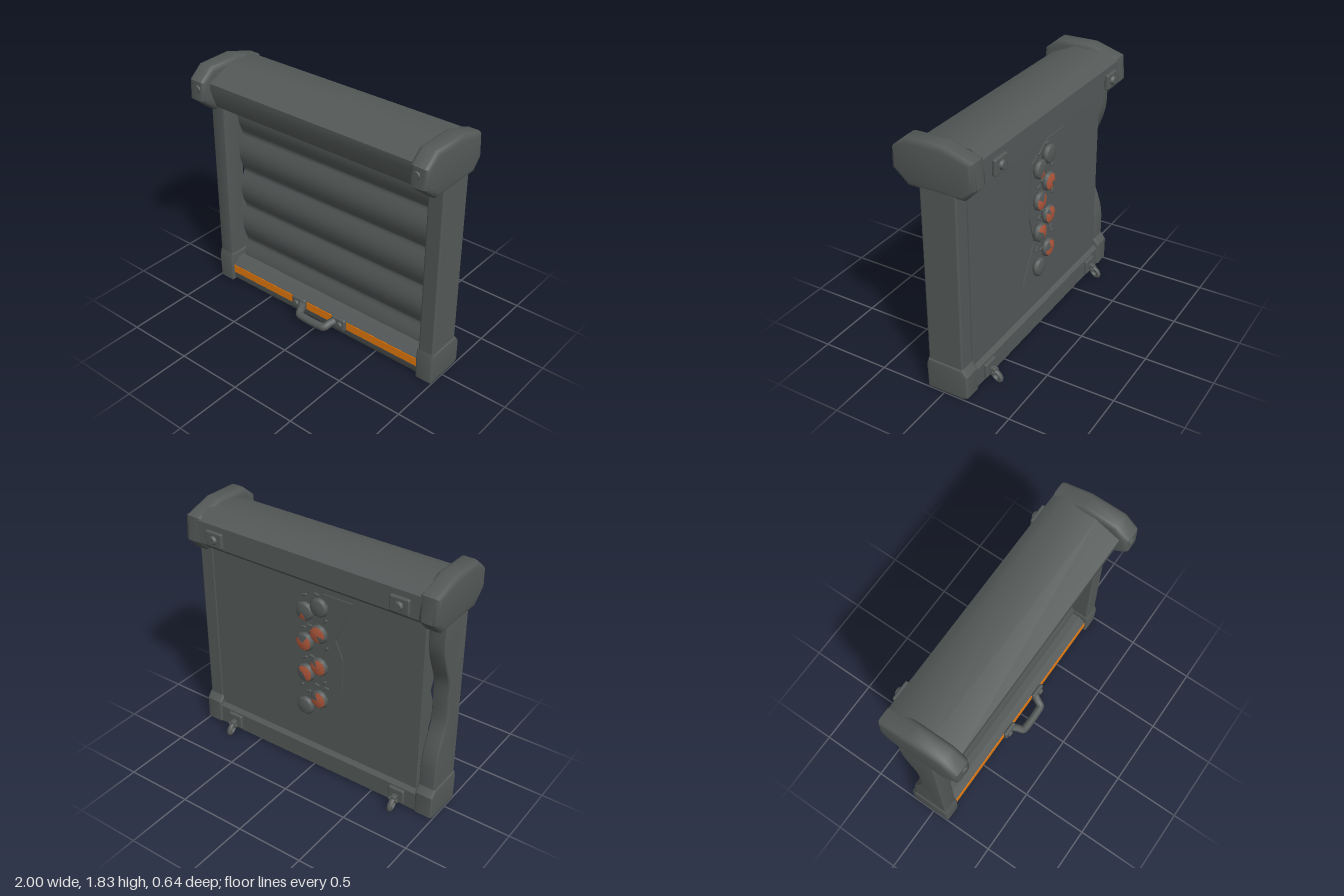
import * as THREE from 'three';
import { toCreasedNormals } from 'three/addons/utils/BufferGeometryUtils.js';
import { RoundedBoxGeometry } from 'three/addons/geometries/RoundedBoxGeometry.js';

const mat = (name, color) => {
  const m = new THREE.MeshStandardMaterial({ color });
  m.name = name;
  return m;
};

export function createModel() {
  const root = new THREE.Group();
  const grey = mat('graphite grey', 0x545958);
  const orange = mat('stripe orange', 0xe67a0c);
  const red = mat('rust red', 0xb0583c);

  const add = (name, geo, material, x = 0, y = 0, z = 0, parent = root) => {
    const m = new THREE.Mesh(geo, material);
    m.name = name;
    m.position.set(x, y, z);
    parent.add(m);
    return m;
  };
  const shapeOf = pts => new THREE.Shape(pts.map(p => new THREE.Vector2(p[0], p[1])));

  // Extrudes a (z, y) profile along x, centred on x = 0
  const alongX = (pts, width, bevel = 0, angle = 0.6) => {
    const depth = width - 2 * bevel;
    const g = new THREE.ExtrudeGeometry(shapeOf(pts), {
      depth, bevelEnabled: bevel > 0, bevelSize: bevel, bevelThickness: bevel,
      bevelOffset: -bevel, bevelSegments: 3,
    });
    g.translate(0, 0, -depth / 2);
    g.rotateY(-Math.PI / 2);
    return toCreasedNormals(g, angle);
  };
  const box = (w, h, d, r = 0.015) => new RoundedBoxGeometry(w, h, d, 2, r);
  // Bolt facing along z
  const bolt = (r, h) => new THREE.CylinderGeometry(r * 0.75, r, h, 8).rotateX(Math.PI / 2);

  // Roller housing
  add('rollerHousing', alongX([
    [0.25, 1.68], [0.25, 1.73], [0.07, 1.81], [-0.18, 1.81], [-0.265, 1.76],
    [-0.27, 1.6], [-0.2, 1.54], [0.2, 1.54],
  ], 1.76), grey);

  // Left post is straight, right post is dented inward along its back
  add('leftPost', box(0.12, 1.48, 0.265), grey, 0.931, 0.81, -0.013);
  const dented = [[0.12, 0.07], [0.12, 1.55], [-0.145, 1.55]];
  for (let i = 0; i <= 16; i++) {
    const dent = Math.min(1, 1.3 * Math.sin((Math.PI * i) / 16) ** 2);
    dented.push([-0.145 + 0.1 * dent, 1.4 - i / 16]);
  }
  dented.push([-0.145, 0.07]);
  add('rightPost', alongX(dented, 0.12, 0.01), grey, -0.931);

  // Feet, end caps and back hardware on both sides
  const cap = alongX([
    [0.315, 1.61], [0.31, 1.75], [0.21, 1.835], [-0.05, 1.84], [-0.265, 1.775],
    [-0.278, 1.6], [-0.2, 1.515], [0.2, 1.51],
  ], 0.143, 0.034, 0.8);
  for (const s of [-1, 1]) {
    const tag = s > 0 ? 'left' : 'right';
    add(tag + 'Foot', alongX([
      [0.13, 0.01], [0.135, 0.2], [0.12, 0.25], [-0.145, 0.25], [-0.183, 0.2], [-0.183, 0.03], [-0.15, 0.01],
    ], 0.135, 0.014), grey, s * 0.932);
    add(tag + 'EndCap', cap, grey, s * 0.923);
    add(tag + 'CapBolt', bolt(0.034, 0.02), grey, s * 0.91, 1.695, 0.31);

    // Upper back bracket
    const bx = s * 0.73 - 0.008;
    add(tag + 'UpperBracket', box(0.14, 0.11, 0.03, 0.01), grey, bx, 1.67, -0.282);
    add(tag + 'UpperBracketBolt', bolt(0.035, 0.02).rotateY(Math.PI), grey, bx, 1.67, -0.306);

    // Lower back bracket with a chunky hanging ring
    add(tag + 'LowerBracket', box(0.12, 0.11, 0.03, 0.01), grey, s * 0.72, 0.105, -0.18);
    add(tag + 'RingLug', box(0.04, 0.055, 0.055, 0.01), grey, s * 0.72, 0.09, -0.205);
    const ring = add(tag + 'Ring', new THREE.TorusGeometry(0.032, 0.016, 8, 14).rotateY(Math.PI / 2), grey,
      s * 0.72, 0.058, -0.237);
    ring.scale.set(1.2, 0.72, 1.2);
    ring.rotation.x = -0.8;
    add(tag + 'RingPin', new THREE.CylinderGeometry(0.013, 0.013, 0.07, 8).rotateZ(Math.PI / 2), grey,
      s * 0.72, 0.082, -0.218);
  }

  // Shutter curtain: softly bulging slats in front, flat at the back
  const curtain = [[-0.145, 0.15], [-0.145, 1.58]];
  const pitch = 0.308;
  for (let i = 70; i >= 0; i--) {
    const y = 0.15 + (1.43 * i) / 70;
    curtain.push([-0.035 + 0.042 * Math.abs(Math.sin((Math.PI * (y - 0.33)) / pitch)), y]);
  }
  add('shutterCurtain', alongX(curtain, 1.72, 0, 1.2), grey, 0.01);

  // Bottom rail and painted stripe
  add('bottomRail', alongX([
    [0.1, 0.02], [0.11, 0.04], [0.11, 0.15], [0.06, 0.198], [-0.145, 0.198], [-0.172, 0.17], [-0.172, 0.03], [-0.155, 0.015],
  ], 1.76), grey);
  add('railStripe', new THREE.BoxGeometry(1.735, 0.064, 0.006), orange, 0, 0.114, 0.112);

  // Lift handle
  const handle = new THREE.Group();
  handle.name = 'liftHandle';
  root.add(handle);
  for (const s of [-1, 1]) {
    add('handlePad', box(0.125, 0.098, 0.035, 0.017), grey, s * 0.187, 0.122, 0.125, handle);
    add('handleBolt', bolt(0.028, 0.02), grey, s * 0.205, 0.122, 0.147, handle);
  }
  const grip = new THREE.CatmullRomCurve3([
    [-0.155, 0.128, 0.13], [-0.135, 0.115, 0.165], [-0.115, 0.095, 0.205], [-0.08, 0.092, 0.21],
    [0.08, 0.092, 0.21], [0.115, 0.095, 0.205], [0.135, 0.115, 0.165], [0.155, 0.128, 0.13],
  ].map(p => new THREE.Vector3(...p)), false, 'centripetal');
  add('handleGrip', new THREE.TubeGeometry(grip, 32, 0.03, 8), grey, 0, 0, 0, handle);

  // Irregular mounting plate on the back
  const plate = new THREE.ExtrudeGeometry(shapeOf([
    [-0.08, 1.46], [-0.31, 1.46], [-0.18, 1.14], [-0.24, 1.0], [-0.235, 0.73], [-0.04, 0.43],
    [0.235, 0.45], [0.085, 0.74], [0.15, 0.95], [0.115, 1.36],
  ]), { depth: 0.008, bevelEnabled: false });
  add('backPlate', plate, grey, 0, 0, -0.152);

  // Grey discs; most have a domed face that is partly rusty
  const lathe = (pts, start = 0, length = Math.PI * 2) => new THREE.LatheGeometry(
    pts.map(p => new THREE.Vector2(p[0], p[1])), Math.ceil(length * 1.6), start, length).rotateX(-Math.PI / 2);
  const rim = lathe([[0, -0.025], [0.055, -0.025], [0.07, -0.012], [0.07, 0.006], [0.06, 0.018]]);
  const face = [[0.06, 0.018], [0.035, 0.026], [0, 0.028]];
  // x, y, rusty share of the face, where the rust starts
  const domes = [
    [0.056, 1.3, 0.15, 2.6], [-0.063, 1.365, 0, 0], [0.056, 1.06, 0.75, 1], [-0.06, 1.16, 0.85, 4.5],
    [0.05, 0.81, 0.6, 3.5], [-0.063, 0.9, 0.9, 1], [0.056, 0.53, 0, 0], [-0.063, 0.63, 0.8, 1.6],
  ];
  for (const [x, y, share, start] of domes) {
    const rust = share * Math.PI * 2;
    add('domeRim', rim, grey, x, y, -0.178);
    add('domeFace', lathe(face, start + rust, Math.PI * 2 - rust), grey, x, y, -0.178);
    if (share > 0) add('domeRust', lathe(face, start, rust), red, x, y, -0.178);
  }

  // Small pegs scattered around the discs
  const peg = new THREE.CapsuleGeometry(0.01, 0.025, 3, 6);
  const pegs = [
    [0.06, 1.42], [-0.04, 1.455], [-0.11, 1.27], [0.02, 1.2], [0.07, 1.17], [-0.12, 1.06],
    [0.0, 0.96], [0.06, 0.93], [-0.1, 0.78], [-0.04, 0.74], [0.09, 0.69], [0.03, 0.66], [-0.12, 0.74],
  ];
  pegs.forEach(([x, y], i) => {
    add('peg', peg, grey, x, y, -0.172).rotation.z = 1.2 + Math.sin(i * 2.3) * 0.6;
  });

  return root;
}
